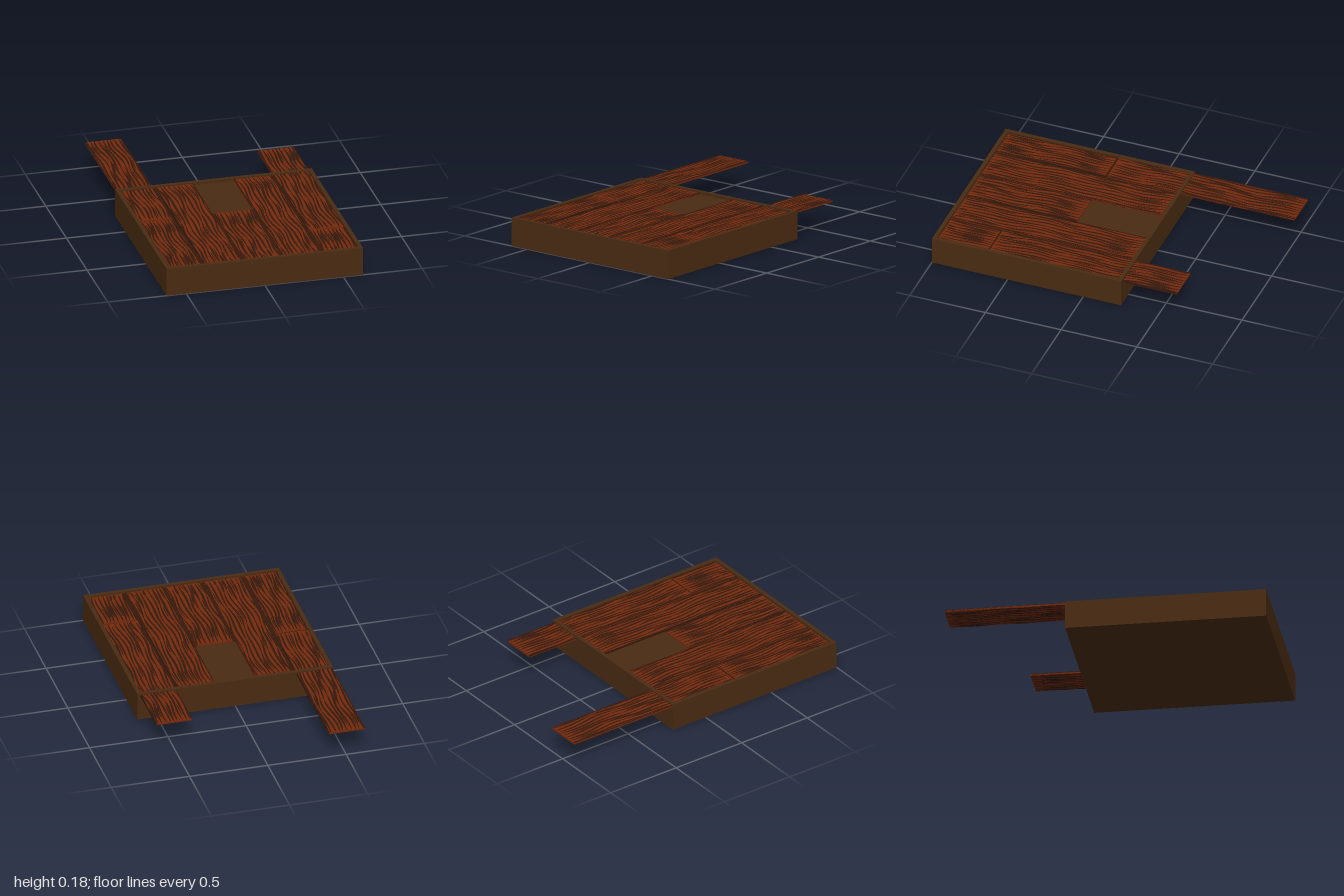
import * as THREE from 'three';

const FLOOR = 0.161, PLANK_BOTTOM = 0.16, PLANK_TOP = 0.171, BACK = -0.25;
const material = color => new THREE.MeshStandardMaterial({ color, side: THREE.DoubleSide });

// Small seeded generator for the grain
function seeded(seed) {
  let s = seed * 7919 + 17;
  return () => (s = (s * 16807) % 2147483647) / 2147483647;
}

// Tapered wavy ridges running along a plank, on its top (dir 1) or underside (dir -1)
function grainGeometry(x0, x1, z0, z1, dir, seed) {
  const rand = seeded(seed), pos = [], idx = [];
  const surface = dir > 0 ? PLANK_TOP : PLANK_BOTTOM;
  const lines = 9, pitch = (x1 - x0) / lines, phase = rand() * 6;
  const wave = z => 0.007 * Math.sin(z * 8 + phase) + 0.005 * Math.sin(z * 17 + phase * 2);

  const ridge = (x, za, zb, width) => {
    const steps = Math.max(4, Math.ceil((zb - za) / 0.03));
    const start = pos.length / 3;
    for (let i = 0; i <= steps; i++) {
      const t = i / steps, z = za + (zb - za) * t;
      const w = width * (0.2 + 0.8 * Math.sin(Math.PI * t) ** 0.5) / 2;
      const c = x + wave(z) + 0.004 * Math.sin(z * 13 + x * 60);
      const clamp = v => Math.min(x1, Math.max(x0, v));
      pos.push(clamp(c - w), surface + dir * 0.0006, z,
        clamp(c), surface + dir * 0.0025, z,
        clamp(c + w), surface + dir * 0.0006, z);
      if (i === steps) continue;
      for (let k = 0; k < 2; k++) {
        const a = start + i * 3 + k, b = a + 1, c2 = a + 3, d = a + 4;
        if (dir > 0) idx.push(a, c2, b, b, c2, d);
        else idx.push(a, b, c2, b, d, c2);
      }
    }
  };

  for (let n = 0; n < lines; n++) {
    const x = x0 + (n + 0.5) * pitch;
    let z = z0;
    while (z < z1 - 0.05) {
      const end = Math.min(z1, z + 0.25 + rand() * 0.4);
      ridge(x, z, end, 0.011 + rand() * 0.005);
      // Short fleck beside the main line
      if (rand() > 0.4) ridge(x + pitch * 0.45, z + 0.06, Math.min(z1, z + 0.2), 0.007);
      z = end - 0.01;
    }
  }
  const g = new THREE.BufferGeometry();
  g.setAttribute('position', new THREE.Float32BufferAttribute(pos, 3));
  g.setIndex(idx);
  g.computeVertexNormals();
  return g;
}

export function createModel() {
  const model = new THREE.Group();
  model.name = 'plankFloor';
  const frameMat = material(0x4a2b12);
  const woodMat = material(0x74290c);
  const grainMat = material(0x34170b);

  const add = (parent, name, geometry, mat) => {
    const mesh = new THREE.Mesh(geometry, mat);
    mesh.name = name;
    parent.add(mesh);
    return mesh;
  };
  const box = (parent, name, mat, x0, x1, y0, y1, z0, z1) =>
    add(parent, name, new THREE.BoxGeometry(x1 - x0, y1 - y0, z1 - z0), mat)
      .position.set((x0 + x1) / 2, (y0 + y1) / 2, (z0 + z1) / 2);

  // Raised rim around the base
  const rect = (T, x, y) => new T([[-x, -y], [x, -y], [x, y], [-x, y]].map(p => new THREE.Vector2(...p)));
  const rim = rect(THREE.Shape, 0.625, 0.625);
  rim.holes.push(rect(THREE.Path, 0.6, 0.6));
  const rimGeo = new THREE.ExtrudeGeometry(rim, { depth: 0.18, bevelEnabled: false });
  rimGeo.rotateX(-Math.PI / 2).translate(0, 0, 0.375);
  add(model, 'rim', rimGeo, frameMat);

  // Solid base filling the rim
  box(model, 'base', frameMat, -0.6, 0.6, 0, FLOOR, -0.225, 0.975);

  // Planks: x0, x1, z0, z1; two stick out past the back, one is cut short
  const planks = [
    [-0.62, -0.39, -1, 0.24],
    [-0.6, -0.39, 0.255, 0.97],
    [-0.375, -0.135, -0.23, 0.97],
    [-0.125, 0.115, 0.24, 0.97],
    [0.125, 0.365, -0.23, 0.97],
    [0.375, 0.605, -0.61, 0.63],
    [0.38, 0.6, 0.642, 0.97],
  ];
  planks.forEach(([x0, x1, z0, z1], i) => {
    const plank = new THREE.Group();
    plank.name = `plank${i + 1}`;
    box(plank, 'board', woodMat, x0, x1, PLANK_BOTTOM, PLANK_TOP, z0, z1);
    add(plank, 'topGrain', grainGeometry(x0, x1, z0, z1, 1, i + 1), grainMat);
    if (z0 < BACK) add(plank, 'undersideGrain', grainGeometry(x0, x1, z0, BACK, -1, i + 21), grainMat);
    // Dark worn edges along both sides
    for (const x of [x0, x1 - 0.006])
      box(plank, 'edge', grainMat, x, x + 0.006, PLANK_BOTTOM + 0.001, PLANK_TOP + 0.002, z0, z1);
    model.add(plank);
  });

  // Dark seams where boards butt together and between the rows
  const seam = (x0, x1, z0, z1) => box(model, 'seam', grainMat, x0, x1, FLOOR - 0.002, 0.165, z0, z1);
  seam(-0.6, -0.39, 0.24, 0.255);
  seam(0.38, 0.6, 0.63, 0.642);
  seam(-0.39, -0.375, -0.225, 0.97);
  seam(0.365, 0.38, -0.225, 0.97);
  for (const x of [-0.135, 0.115]) seam(x, x + 0.01, 0.24, 0.97);

  return model;
}
